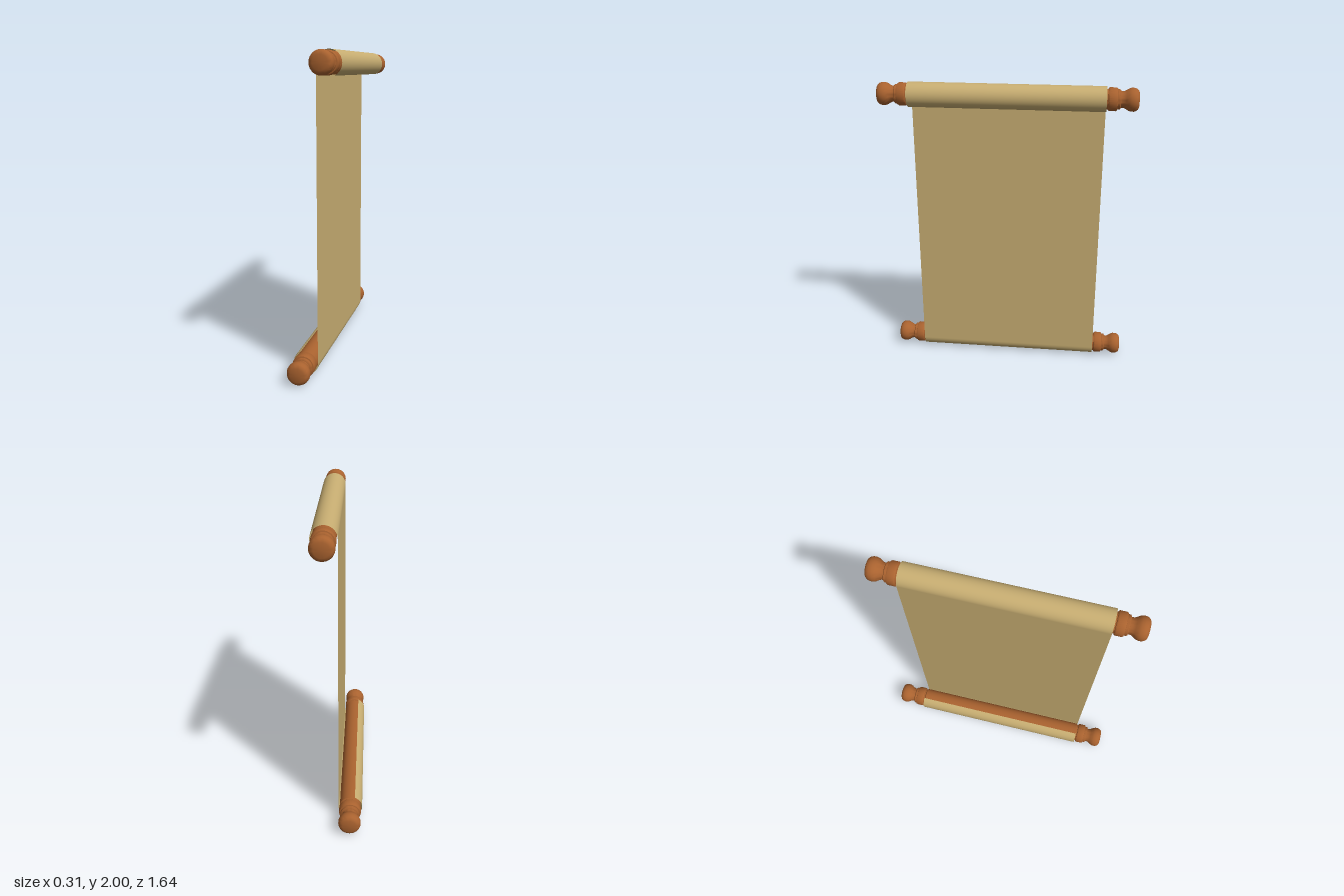
import * as THREE from 'three';
import { toCreasedNormals } from 'three/addons/utils/BufferGeometryUtils.js';

const CX = 0.077, CY = 0.078; // roller centre, measured from the sheet and the outer edge
const HALF = 0.62;            // half width of the parchment

// Turned handle, half profile as [radius, distance from the middle]
const HANDLE = [
  [0.069, 0], [0.069, 0.615], [0.062, 0.62], [0.062, 0.628], [0.068, 0.63],
  [0.072, 0.636], [0.072, 0.676], [0.068, 0.684], [0.061, 0.686], [0.061, 0.7],
  [0.057, 0.704], [0.05, 0.706], [0.05, 0.722], [0.058, 0.738], [0.067, 0.752],
  [0.072, 0.767], [0.072, 0.786], [0.067, 0.801], [0.058, 0.811], [0.044, 0.816], [0, 0.818],
];

function makeRoller(material) {
  const upper = HANDLE.map(([r, y]) => new THREE.Vector2(r, y));
  const lower = HANDLE.slice(1).reverse().map(([r, y]) => new THREE.Vector2(r, -y));
  const geometry = toCreasedNormals(new THREE.LatheGeometry([...lower, ...upper], 40), 0.6);
  geometry.rotateX(Math.PI / 2);
  return new THREE.Mesh(geometry, material);
}

// Lower half of the sheet's cross-section: loose end, around the roller, up to mid height
function lowerCurl() {
  const points = [];
  const steps = 40, sweep = THREE.MathUtils.degToRad(247);
  for (let i = steps; i >= 0; i--) {
    const t = i / steps, r = 0.077 + 0.003 * t;
    points.push([-CX + r * Math.cos(-sweep * t), CY + r * Math.sin(-sweep * t)]);
  }
  return points;
}

function makeSheet(material) {
  const low = lowerCurl();
  const high = low.map(([x, y]) => [-x, 2 - y]).reverse(); // half turn about the middle
  const section = [...low, ...high];
  const positions = [], index = [];
  section.forEach(([x, y], i) => {
    positions.push(x, y, HALF, x, y, -HALF);
    if (i > 0) {
      const a = 2 * (i - 1);
      index.push(a, a + 1, a + 2, a + 1, a + 3, a + 2);
    }
  });
  const geometry = new THREE.BufferGeometry();
  geometry.setAttribute('position', new THREE.Float32BufferAttribute(positions, 3));
  geometry.setIndex(index);
  geometry.computeVertexNormals();
  return new THREE.Mesh(geometry, material);
}

export function createModel() {
  const group = new THREE.Group();
  group.name = 'scroll';
  const wood = new THREE.MeshStandardMaterial({ color: 0xa9622f });
  const parchment = new THREE.MeshStandardMaterial({ color: 0xc8ae72, side: THREE.DoubleSide });

  // Wooden rollers
  const top = makeRoller(wood);
  top.name = 'topRoller';
  top.position.set(CX, 2 - CY, 0);
  const bottom = makeRoller(wood);
  bottom.name = 'bottomRoller';
  bottom.position.set(-CX, CY, 0);

  // Parchment, wrapped in opposite directions at the two ends
  const sheet = makeSheet(parchment);
  sheet.name = 'parchment';

  group.add(top, bottom, sheet);
  return group;
}
